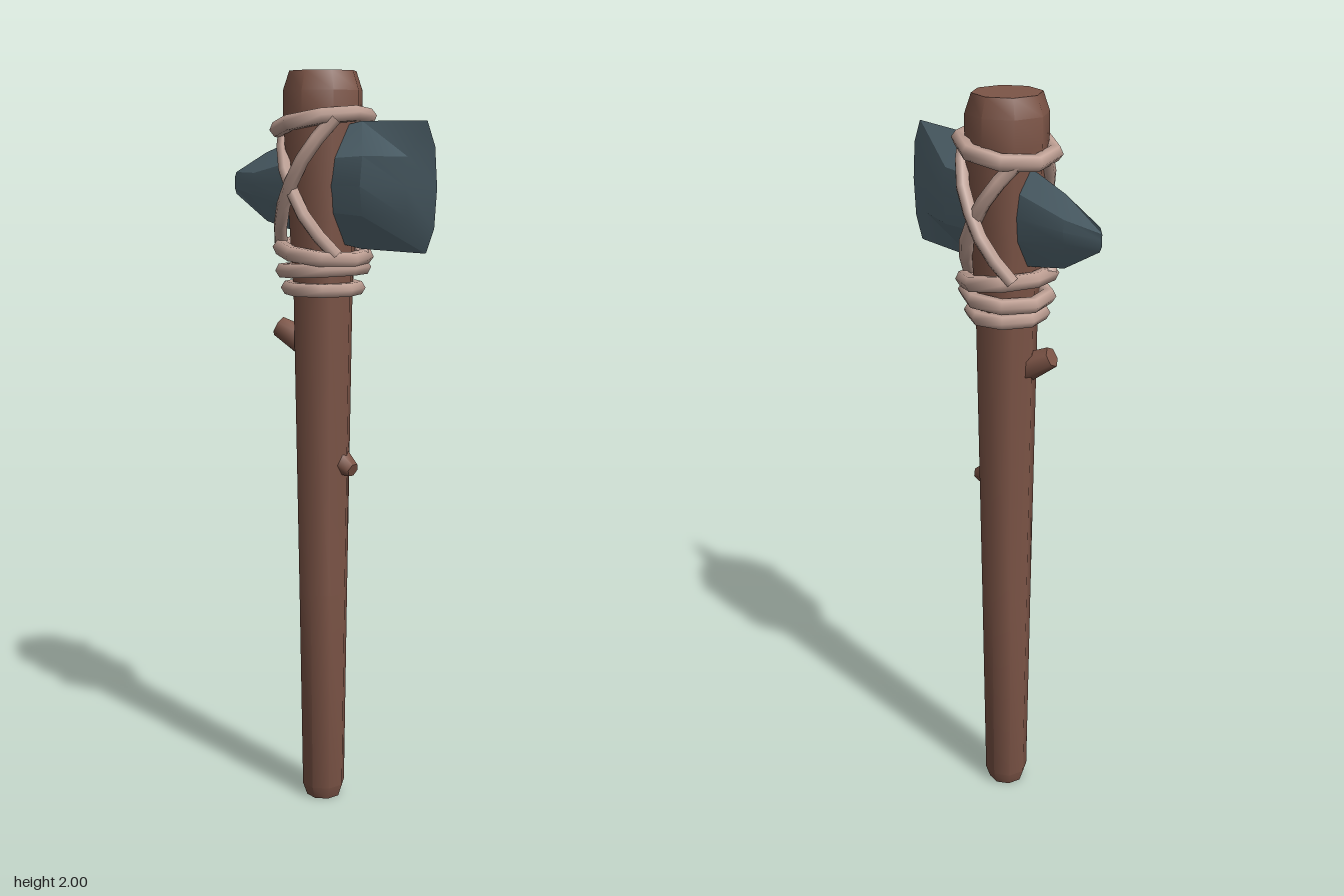
import * as THREE from 'three';
import { toCreasedNormals } from 'three/addons/utils/BufferGeometryUtils.js';

const AXIS = -0.025; // x of the handle's centre line
const wood = new THREE.MeshStandardMaterial({ color: 0x7d5547 });
const stone = new THREE.MeshStandardMaterial({ color: 0x566b75 });
const rope = new THREE.MeshStandardMaterial({ color: 0xc0a195 });

function add(parent, name, geometry, material) {
  const mesh = new THREE.Mesh(geometry, material);
  mesh.name = name;
  parent.add(mesh);
  return mesh;
}

// Eight-sided shaft, widening towards the top, with bevelled ends
function handleGeometry() {
  const profile = [
    [0, 0], [0.048, 0], [0.06, 0.035], [0.068, 0.6], [0.081, 1.42],
    [0.092, 1.62], [0.107, 1.88], [0.107, 1.95], [0.09, 2], [0, 2],
  ].map(([r, y]) => new THREE.Vector2(r, y));
  const g = new THREE.LatheGeometry(profile, 8, THREE.MathUtils.degToRad(16));
  return toCreasedNormals(g, THREE.MathUtils.degToRad(47));
}

// Stone head lofted along x from lens-shaped sections of eight points
function headGeometry() {
  // rim x, rim top, rim bottom, face x, face top, face bottom, half thickness
  const sections = [
    [-0.378, 1.735, 1.675, -0.385, 1.72, 1.69, 0],
    [-0.25, 1.79, 1.605, -0.275, 1.735, 1.675, 0.028],
    [-0.1, 1.835, 1.575, -0.1, 1.77, 1.645, 0.039],
    [0.12, 1.872, 1.548, 0.17, 1.785, 1.635, 0.057],
    [0.345, 1.872, 1.548, 0.3, 1.785, 1.635, 0.023],
    [0.348, 1.87, 1.55, 0.374, 1.81, 1.61, 0],
  ];
  const rings = sections.map(([rx, rt, rb, fx, ft, fb, t]) => {
    const mid = (ft + fb) / 2;
    const bulge = fx > 0.35 ? 0.008 : 0;
    return [
      [rx, rt, 0], [fx, ft, t * 0.85], [fx + bulge, mid, t], [fx, fb, t * 0.85],
      [rx, rb, 0], [fx, fb, -t * 0.85], [fx + bulge, mid, -t], [fx, ft, -t * 0.85],
    ];
  });
  const pos = [];
  for (let i = 0; i < rings.length - 1; i++) {
    for (let j = 0; j < 8; j++) {
      const k = (j + 1) % 8;
      const a = rings[i][j], b = rings[i][k], c = rings[i + 1][k], d = rings[i + 1][j];
      pos.push(...a, ...b, ...c, ...a, ...c, ...d);
    }
  }
  const g = new THREE.BufferGeometry();
  g.setAttribute('position', new THREE.Float32BufferAttribute(pos, 3));
  return toCreasedNormals(g, THREE.MathUtils.degToRad(18));
}

// Rope loop around the handle; tilt raises its +x side
function addLoop(parent, name, y, radius, tube, tilt) {
  const g = new THREE.TorusGeometry(radius, tube, 6, 8);
  g.rotateX(Math.PI / 2);
  g.rotateZ(tilt);
  add(parent, name, g, rope).position.set(AXIS, y, 0);
}

// Diagonal rope strand hugging one side of the handle
function addStrand(parent, name, side, x0, y0, x1, y1, radius) {
  const points = [];
  for (let i = 0; i <= 4; i++) {
    const t = i / 4;
    const x = THREE.MathUtils.lerp(x0, x1, t);
    const y = THREE.MathUtils.lerp(y0, y1, t);
    points.push(new THREE.Vector3(AXIS + x, y, side * Math.sqrt(radius * radius - x * x)));
  }
  const path = new THREE.CatmullRomCurve3(points);
  add(parent, name, new THREE.TubeGeometry(path, 6, 0.019, 6), rope);
}

// Cut branch stub between two points
function addKnot(parent, name, from, to, r0, r1) {
  const a = new THREE.Vector3(...from);
  const dir = new THREE.Vector3(...to).sub(a);
  const length = dir.length();
  const g = new THREE.CylinderGeometry(r1, r0, length, 6);
  g.translate(0, length / 2, 0);
  const mesh = add(parent, name, toCreasedNormals(g, 1.1), wood);
  mesh.position.copy(a);
  mesh.quaternion.setFromUnitVectors(new THREE.Vector3(0, 1, 0), dir.normalize());
}

export function createModel() {
  const model = new THREE.Group();
  model.name = 'stoneAxe';

  add(model, 'handle', handleGeometry(), wood).position.x = AXIS;
  add(model, 'stoneHead', headGeometry(), stone);

  addKnot(model, 'upperKnot', [-0.07, 1.29, 0.025], [-0.137, 1.33, 0.06], 0.04, 0.028);
  addKnot(model, 'lowerKnot', [0.02, 0.968, -0.018], [0.068, 0.95, -0.022], 0.038, 0.02);

  // Lashing: loops above and below the head, crossed strands on both faces
  const lashing = new THREE.Group();
  lashing.name = 'lashing';
  addLoop(lashing, 'topLoop', 1.868, 0.12, 0.022, 0.19);
  addLoop(lashing, 'bottomLoop1', 1.533, 0.113, 0.022, -0.14);
  addLoop(lashing, 'bottomLoop2', 1.488, 0.107, 0.021, 0.06);
  addLoop(lashing, 'bottomLoop3', 1.438, 0.093, 0.02, 0);
  for (const side of [1, -1]) {
    const label = side > 0 ? 'front' : 'back';
    addStrand(lashing, label + 'StrandDown', side, -0.098, 1.85, 0.098, 1.53, 0.108);
    addStrand(lashing, label + 'StrandUp', side, -0.098, 1.55, 0.102, 1.88, 0.116);
  }
  model.add(lashing);
  return model;
}
